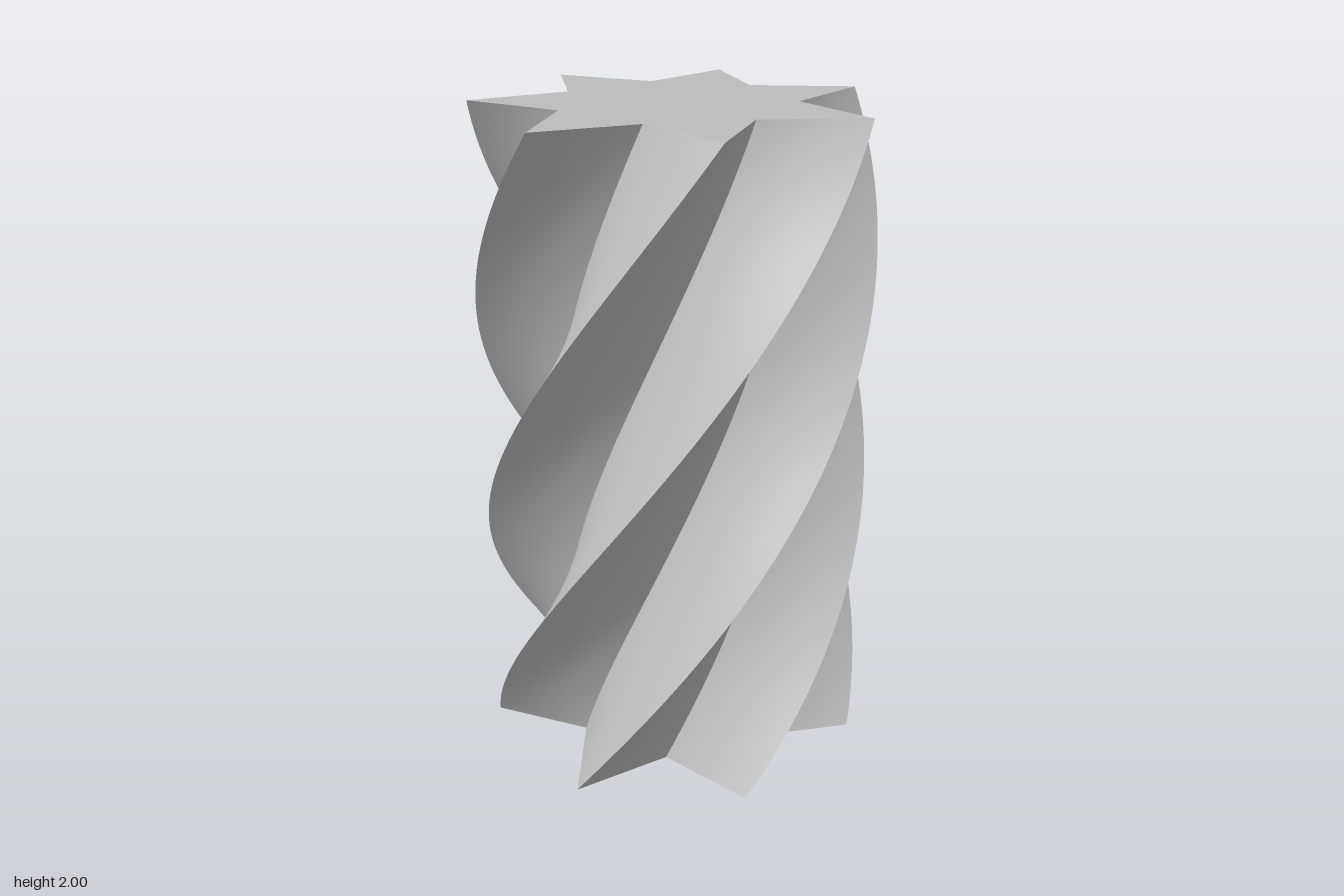
import * as THREE from 'three';
import { mergeGeometries } from 'three/addons/utils/BufferGeometryUtils.js';

const POINTS = 7, OUTER = 0.593, INNER = 0.352, HEIGHT = 2;
const TWIST = THREE.MathUtils.degToRad(-145.1);

// Corner i of the star (even = tip, odd = valley) turned by angle; returns (x, z)
function corner(i, angle) {
  const r = i % 2 ? INNER : OUTER;
  const a = angle + (i * Math.PI) / POINTS;
  return new THREE.Vector2(r * Math.cos(a), r * Math.sin(a));
}

// One twisted flank between corner i and corner i + 1, smooth within itself
function flank(i) {
  const geo = new THREE.PlaneGeometry(1, 1, 4, 96);
  const pos = geo.attributes.position;
  for (let k = 0; k < pos.count; k++) {
    const across = 0.5 - pos.getX(k), up = pos.getY(k) + 0.5;
    const p = corner(i, TWIST * up).lerp(corner(i + 1, TWIST * up), across);
    pos.setXYZ(k, p.x, up * HEIGHT, p.y);
  }
  geo.computeVertexNormals();
  return geo;
}

// Flat star cap; side is 1 for facing up, -1 for facing down
function cap(angle, y, side) {
  const outline = [];
  for (let i = 0; i < POINTS * 2; i++) {
    const p = corner(i, angle);
    outline.push(new THREE.Vector2(p.x, -side * p.y));
  }
  const geo = new THREE.ShapeGeometry(new THREE.Shape(outline));
  return geo.rotateX((-side * Math.PI) / 2).translate(0, y, 0);
}

export function createModel() {
  const grey = new THREE.MeshStandardMaterial({ color: 0xbcbcbc });
  grey.name = 'grey';
  const group = new THREE.Group();
  group.name = 'twistedStarColumn';

  const add = (name, geo) => {
    const mesh = new THREE.Mesh(geo, grey);
    mesh.name = name;
    group.add(mesh);
  };

  // Spiral flutes
  const flanks = [];
  for (let i = 0; i < POINTS * 2; i++) flanks.push(flank(i));
  add('flutedSides', mergeGeometries(flanks));

  // End caps
  add('topCap', cap(TWIST, HEIGHT, 1));
  add('bottomCap', cap(0, 0, -1));
  return group;
}
